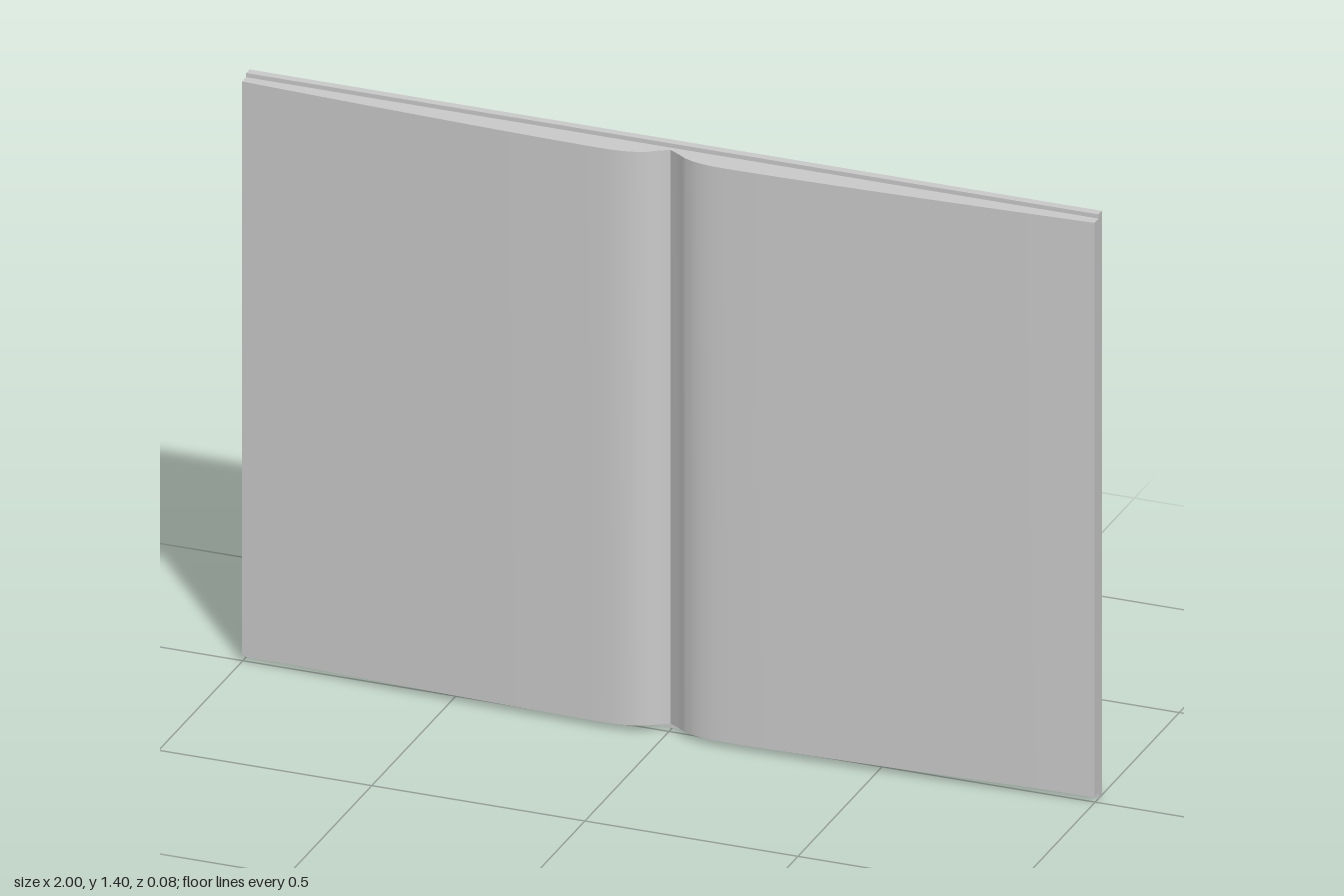
import * as THREE from 'three';
import { toCreasedNormals } from 'three/addons/utils/BufferGeometryUtils.js';

const COVER_HEIGHT = 1.405, PAGE_BOTTOM = 0.015, PAGE_HEIGHT = 1.38;
const BACK = -0.04, COVER_FRONT = -0.02;

export function createModel() {
  const book = new THREE.Group();
  book.name = 'openBook';
  const material = new THREE.MeshStandardMaterial({ color: 0xcccccc });

  // Thin flat cover behind the pages
  const cover = new THREE.Mesh(
    new THREE.BoxGeometry(2, COVER_HEIGHT, COVER_FRONT - BACK), material);
  cover.name = 'cover';
  cover.position.set(0, COVER_HEIGHT / 2, (BACK + COVER_FRONT) / 2);
  book.add(cover);

  // Curve of one open page, from the gutter to the outer edge (x, z)
  const half = new THREE.SplineCurve([
    [0, -0.009], [0.025, 0.006], [0.05, 0.022], [0.09, 0.034], [0.15, 0.038],
    [0.3, 0.035], [0.5, 0.028], [0.75, 0.017], [1, 0.004],
  ].map(([x, z]) => new THREE.Vector2(x, z))).getPoints(32);

  // Page block: mirrored curve closed along the cover, extruded upwards.
  // The shape is drawn with y = -z, so turning it upright restores z.
  const outline = [
    ...half.slice(1).reverse().map(p => new THREE.Vector2(-p.x, -p.y)),
    ...half.map(p => new THREE.Vector2(p.x, -p.y)),
    new THREE.Vector2(1, -COVER_FRONT),
    new THREE.Vector2(-1, -COVER_FRONT),
  ];
  const block = new THREE.ExtrudeGeometry(new THREE.Shape(outline),
    { depth: PAGE_HEIGHT, bevelEnabled: false });
  block.rotateX(-Math.PI / 2);
  const pages = new THREE.Mesh(toCreasedNormals(block, Math.PI / 6), material);
  pages.name = 'pages';
  pages.position.y = PAGE_BOTTOM;
  book.add(pages);

  return book;
}
